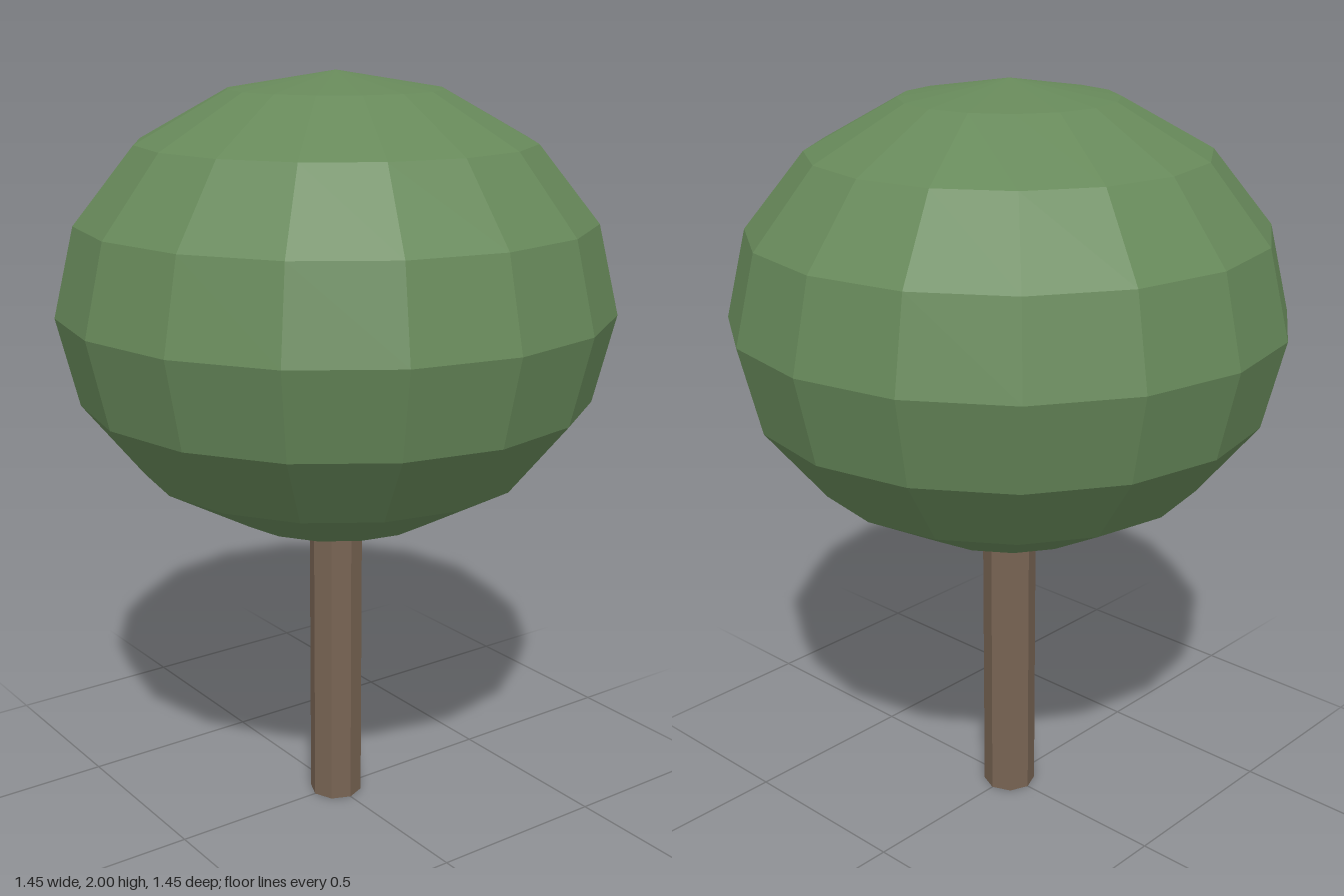
import * as THREE from 'three';

const foliage = new THREE.MeshStandardMaterial({ color: 0x67895a });
foliage.name = 'leaf green';
const bark = new THREE.MeshStandardMaterial({ color: 0x786453 });
bark.name = 'bark brown';

// Splits shared vertices so every facet is shaded flat
function facet(geometry) {
  const flat = geometry.toNonIndexed();
  flat.computeVertexNormals();
  return flat;
}

export function createModel() {
  const tree = new THREE.Group();
  tree.name = 'tree';

  // Eight-sided trunk, its top just inside the crown
  const trunkHeight = 0.83;
  const trunk = new THREE.Mesh(
    facet(new THREE.CylinderGeometry(0.072, 0.072, trunkHeight, 8)), bark);
  trunk.name = 'trunk';
  trunk.position.y = trunkHeight / 2;
  tree.add(trunk);

  // Faceted crown, slightly squashed in height
  const crown = new THREE.Mesh(
    facet(new THREE.SphereGeometry(1, 16, 8).scale(0.725, 0.6, 0.725)), foliage);
  crown.name = 'crown';
  crown.position.y = 1.4;
  tree.add(crown);

  return tree;
}
